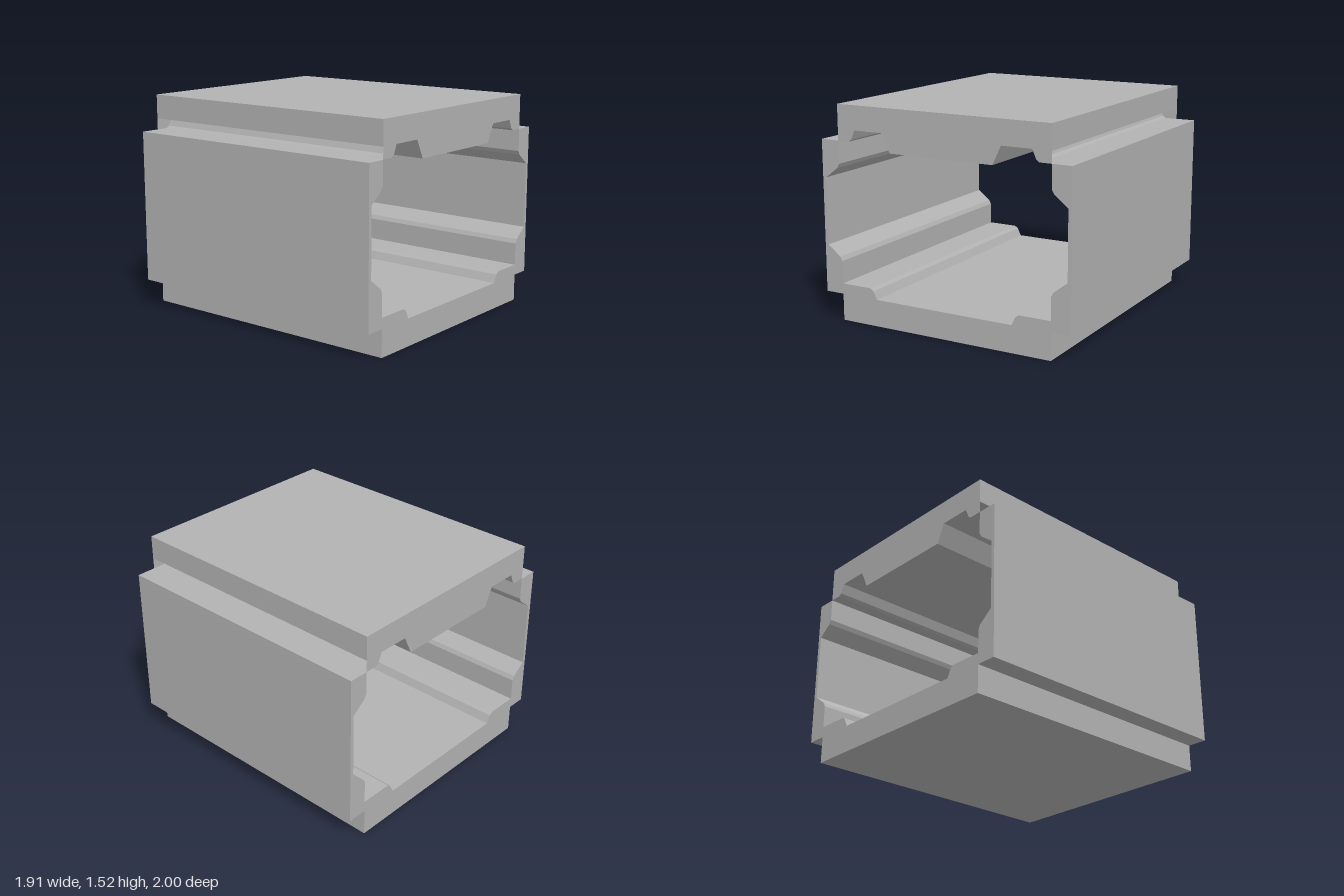
import * as THREE from 'three';

const HALF_LENGTH = 1;
const BEAM_X = 0.816;  // half width of the roof and floor
const PANEL_X = 0.956; // half width over the side panels

// Completes a right-hand half profile (anticlockwise) with its mirror image
function mirrored(half) {
  return [...half, ...half.slice().reverse().map(([x, y]) => [-x, y])].map(([x, y]) => new THREE.Vector2(x, y));
}

// Sweeps a profile along z with both end caps; isOpen marks edges left without a wall
function sweep(points, isOpen = () => false) {
  const pos = [];
  const put = (p, z) => pos.push(p.x, p.y, z);
  for (const [i, j, k] of THREE.ShapeUtils.triangulateShape(points, [])) {
    [i, j, k].forEach((n) => put(points[n], HALF_LENGTH));
    [i, k, j].forEach((n) => put(points[n], -HALF_LENGTH));
  }
  points.forEach((a, i) => {
    const b = points[(i + 1) % points.length];
    if (isOpen(a, b)) return;
    put(a, HALF_LENGTH); put(a, -HALF_LENGTH); put(b, -HALF_LENGTH);
    put(a, HALF_LENGTH); put(b, -HALF_LENGTH); put(b, HALF_LENGTH);
  });
  const geometry = new THREE.BufferGeometry();
  geometry.setAttribute('position', new THREE.Float32BufferAttribute(pos, 3));
  geometry.computeVertexNormals();
  return geometry;
}

export function createModel() {
  const group = new THREE.Group();
  group.name = 'hollowProfile';
  const grey = new THREE.MeshStandardMaterial({ color: 0xb2b2b2, side: THREE.DoubleSide });
  grey.name = 'grey';

  const add = (name, geometry) => {
    const mesh = new THREE.Mesh(geometry, grey);
    mesh.name = name;
    group.add(mesh);
  };

  // Roof beam with two grooves underneath; the lower strip of each flank is open
  const roof = mirrored([
    [0.393, 1.22], [0.456, 1.35], [0.678, 1.35], [0.706, 1.285], [0.728, 1.27],
    [BEAM_X, 1.27], [BEAM_X, 1.35], [BEAM_X, 1.52],
  ]);
  add('roofBeam', sweep(roof, (a, b) =>
    a.x === b.x && Math.abs(a.x) === BEAM_X && Math.max(a.y, b.y) < 1.4));

  // Floor and side panels in one U-shaped section
  add('floorAndSides', sweep(mirrored([
    [BEAM_X, 0], [BEAM_X, 0.19], [PANEL_X, 0.19], [PANEL_X, 1.27], [BEAM_X, 1.27],
    [BEAM_X, 1.11], [0.832, 1.08], [0.93, 1.005], [0.93, 0.53], [0.832, 0.455],
    [BEAM_X, 0.425], [BEAM_X, 0.265], [0.583, 0.265], [0.557, 0.247], [0.53, 0.19],
  ])));

  return group;
}
